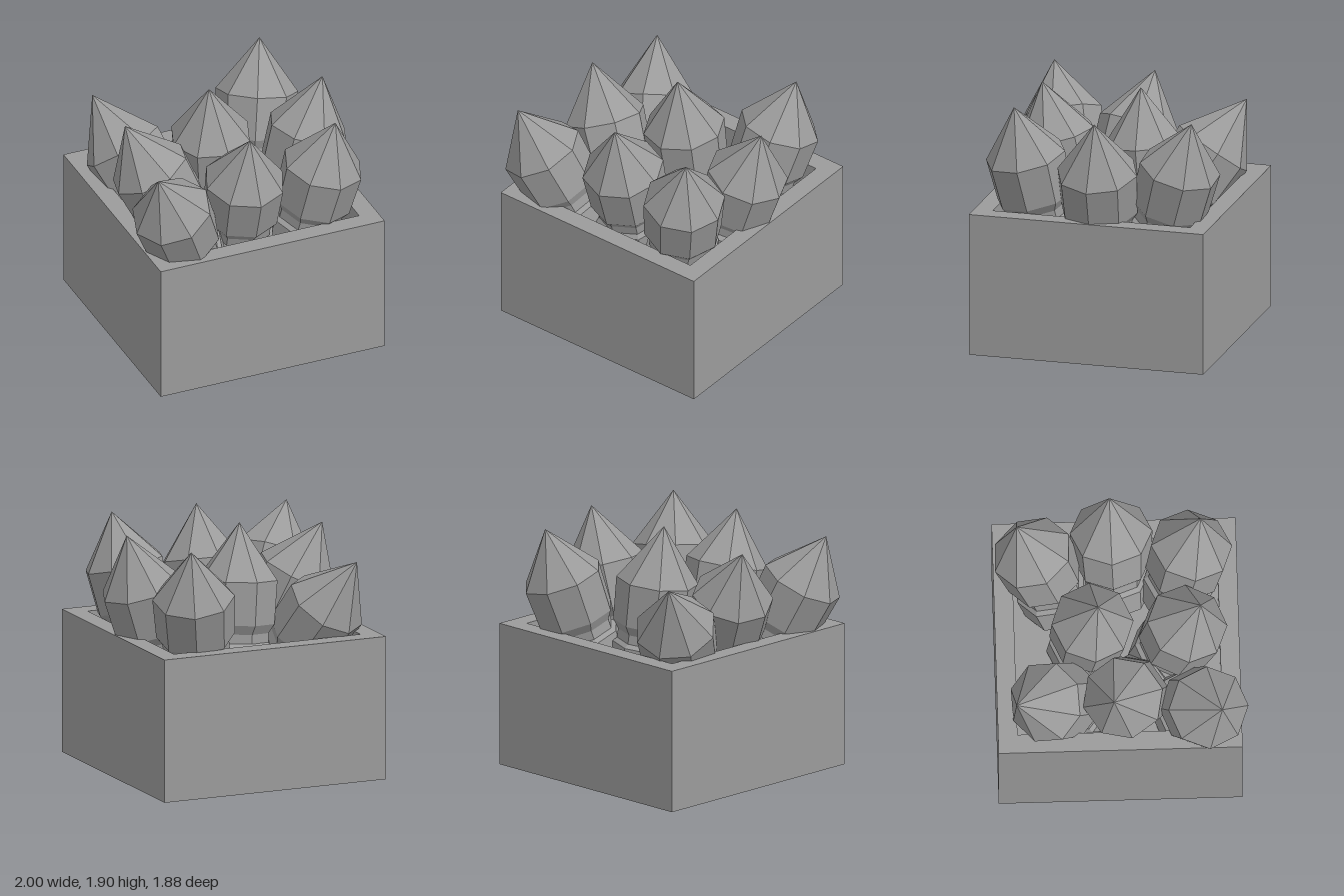
import * as THREE from 'three';

const material = new THREE.MeshStandardMaterial({ color: 0x9b9b9b, flatShading: true });

// Tip, shoulder centre (where the point meets the body) and twist in degrees of each stick
const STICKS = [
  { tip: [-0.87, 1.80, 0.74], shoulder: [-0.72, 1.44, 0.64], twist: 4 },
  { tip: [-0.06, 1.88, 0.60], shoulder: [-0.06, 1.48, 0.50], twist: 1 },
  { tip: [0.63, 1.88, 0.62], shoulder: [0.56, 1.49, 0.55], twist: 3 },
  { tip: [-0.79, 1.81, -0.07], shoulder: [-0.62, 1.43, 0], twist: 10 },
  { tip: [-0.06, 1.90, -0.17], shoulder: [-0.03, 1.48, -0.21], twist: 3 },
  { tip: [0.82, 1.86, -0.06], shoulder: [0.70, 1.45, -0.05], twist: 0 },
  { tip: [-0.74, 1.66, -0.80], shoulder: [-0.59, 1.30, -0.58], twist: 20 },
  { tip: [0.61, 1.86, -0.76], shoulder: [0.54, 1.48, -0.65], twist: 22 },
];

// Open box: a square frame with a raised floor that carries the sticks
function createBox() {
  const box = new THREE.Group();
  box.name = 'box';
  const width = 1.83, depth = 1.83, height = 1.1, wall = 0.145, floor = 0.75;
  const outline = (w, d, Type) => new Type([
    new THREE.Vector2(-w / 2, -d / 2), new THREE.Vector2(w / 2, -d / 2),
    new THREE.Vector2(w / 2, d / 2), new THREE.Vector2(-w / 2, d / 2),
  ]);
  const shape = outline(width, depth, THREE.Shape);
  shape.holes.push(outline(width - 2 * wall, depth - 2 * wall, THREE.Path));
  const frame = new THREE.ExtrudeGeometry(shape, { depth: height, bevelEnabled: false });
  frame.rotateX(-Math.PI / 2);
  const walls = new THREE.Mesh(frame, material);
  walls.name = 'boxWalls';

  const base = new THREE.Mesh(
    new THREE.BoxGeometry(width - 2 * wall, floor, depth - 2 * wall), material);
  base.name = 'boxFloor';
  base.position.y = floor / 2;
  box.add(walls, base);
  box.position.z = -0.025;
  return box;
}

// Pointed eight-sided stick with a grooved neck; the shoulder sits at y = 0
function stickGeometry(tipLength) {
  const profile = [
    [0, -0.72], [0.28, -0.72], [0.28, -0.5], [0.25, -0.47],
    [0.25, -0.4], [0.295, -0.33], [0.31, 0], [0, tipLength],
  ].map(([r, y]) => new THREE.Vector2(r, y));
  return new THREE.LatheGeometry(profile, 8);
}

export function createModel() {
  const model = new THREE.Group();
  model.name = 'boxOfPointedSticks';
  model.add(createBox());

  const up = new THREE.Vector3(0, 1, 0);
  STICKS.forEach(({ tip, shoulder, twist }, i) => {
    const centre = new THREE.Vector3(...shoulder);
    const axis = new THREE.Vector3(...tip).sub(centre);
    const stick = new THREE.Mesh(stickGeometry(axis.length()), material);
    stick.name = `pointedStick${i + 1}`;
    stick.position.copy(centre);
    stick.quaternion.setFromUnitVectors(up, axis.normalize());
    stick.rotateY(THREE.MathUtils.degToRad(twist));
    model.add(stick);
  });
  return model;
}
